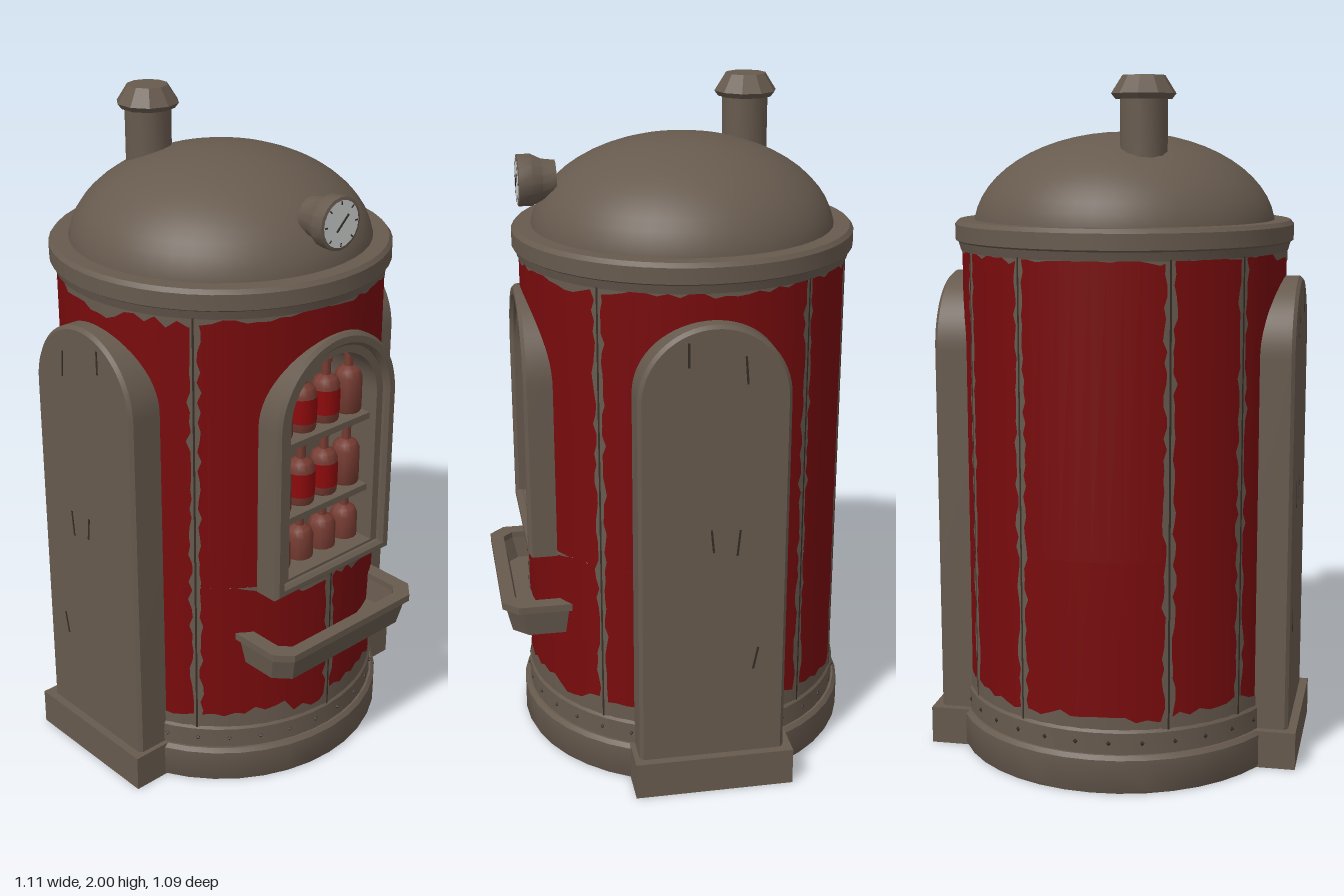
import * as THREE from 'three';
import { toCreasedNormals } from 'three/addons/utils/BufferGeometryUtils.js';
import { ParametricGeometry } from 'three/addons/geometries/ParametricGeometry.js';

const flat = (name, color, extra = {}) => new THREE.MeshStandardMaterial({ name, color, ...extra });
const hash = (n) => { const s = Math.sin(n * 127.1 + 11.7) * 43758.5453; return s - Math.floor(s); };
const CZ = -0.04;   // axis of the round body
const R = 0.48;     // body radius

export function createModel() {
  const brown = flat('weathered metal', 0x675a4e);
  const red = flat('red paint', 0x780b0d);
  const glass = flat('bottle glass', 0x733a30);
  const label = flat('bottle label', 0x8c0a0c);
  const white = flat('dial white', 0xcdd0d0);
  const dark = flat('dark grooves', 0x352d27);

  const model = new THREE.Group();
  const add = (name, geo, mat, x = 0, y = 0, z = 0, parent = model) => {
    const m = new THREE.Mesh(geo, mat);
    m.name = name;
    m.position.set(x, y, z);
    parent.add(m);
    return m;
  };
  const box = (w, h, d) => new THREE.BoxGeometry(w, h, d);
  const lathe = (pts, segs, crease = 0.5) =>
    toCreasedNormals(new THREE.LatheGeometry(pts.map((p) => new THREE.Vector2(...p)), segs), crease);
  const extrude = (shape, depth, bevel = 0) => toCreasedNormals(new THREE.ExtrudeGeometry(shape, {
    depth, curveSegments: 16, bevelEnabled: bevel > 0, bevelSize: bevel, bevelThickness: bevel,
    bevelOffset: -bevel, bevelSegments: 1,
  }), 0.5);
  // round-topped outline
  const arch = (hw, y0, top, Type = THREE.Shape) => {
    const s = new Type();
    s.moveTo(-hw, y0);
    s.lineTo(hw, y0);
    s.lineTo(hw, top - hw);
    s.absarc(0, top - hw, hw, 0, Math.PI, false);
    s.lineTo(-hw, y0);
    return s;
  };
  const archRing = (hw, y0, top, w, sill) => {
    const s = arch(hw, y0, top);
    s.holes.push(arch(hw - w, y0 + sill, top - w, THREE.Path));
    return s;
  };
  // surface wrapped on the body; at(u, v) gives [angle, height]
  const wrap = (r, slices, stacks, at) => new ParametricGeometry((u, v, t) => {
    const [a, y] = at(u, v);
    t.set(r * Math.sin(a), y, r * Math.cos(a));
  }, slices, stacks);

  // base: round foot, side blocks and riveted band
  add('foot', lathe([[0, 0], [0.5, 0], [0.505, 0.01], [0.505, 0.1], [0.495, 0.112], [0.45, 0.112]], 40), brown, 0, 0, CZ);
  add('baseBand', lathe([[0.488, 0.1], [0.488, 0.175], [0.478, 0.19], [0.46, 0.19]], 48), brown, 0, 0, CZ);
  const rivet = new THREE.OctahedronGeometry(0.008);
  for (let i = 0; i < 32; i++) {
    const a = (i + 0.5) / 32 * Math.PI * 2;
    add('rivet', rivet, dark, 0.487 * Math.sin(a), 0.145, CZ + 0.487 * Math.cos(a));
  }
  for (const s of [-1, 1]) {
    add('sideBlock', box(0.2, 0.112, 0.47), brown, s * 0.455, 0.056, -0.04);
    // arched side panel
    const panel = extrude(arch(0.215, 0.1, 1.43), 0.18, 0.01);
    panel.translate(0, 0, -0.09).rotateY(Math.PI / 2);
    add('sidePanel', panel, brown, s * 0.43, 0, -0.035);
    for (const [y, z, h, t] of [[0.8, -0.03, 0.07, 0.1], [0.79, -0.105, 0.08, -0.1], [1.35, 0.04, 0.07, 0],
      [1.3, -0.12, 0.08, 0.08], [0.42, -0.16, 0.07, -0.2]]) {
      add('scratch', box(0.003, h, 0.006), dark, s * 0.53, y, z).rotation.x = t;
    }
  }

  // red body with an arched opening at the front
  const gapX = 0.2, gapBase = 0.67, gapSpring = 1.175, top = 1.53;
  const gapA = Math.asin(gapX / R);
  add('lowerBody', new THREE.CylinderGeometry(R, R, gapBase - 0.15, 64, 1, true), red, 0, (gapBase + 0.15) / 2, CZ);
  add('upperBody', new THREE.CylinderGeometry(R, R, top - gapBase, 56, 1, true, gapA, Math.PI * 2 - 2 * gapA),
    red, 0, (top + gapBase) / 2, CZ);
  add('bodyOverWindow', wrap(R, 24, 1, (u, v) => {
    const a = (u * 2 - 1) * gapA;
    const x = R * Math.sin(a);
    const low = gapSpring + Math.sqrt(Math.max(0, gapX * gapX - x * x));
    return [a, low + (top - low) * v];
  }), red, 0, 0, CZ);

  // worn seams with a dark groove down the middle
  const seams = [[0, 0.18, 0.67]];
  for (const d of [51, 126, 154]) for (const s of [-1, 1]) seams.push([s * d * Math.PI / 180, 0.18, top]);
  seams.forEach(([angle, y0, y1], k) => {
    const n = Math.round((y1 - y0) / 0.03);
    add('wornSeam', wrap(R + 0.003, 1, n, (u, v) => {
      const i = Math.round(v * n);
      const half = 0.018 + 0.03 * hash(i + k * 97 + (u > 0.5 ? 500 : 0)) ** 2;
      return [angle + (u > 0.5 ? half : -half), y0 + (y1 - y0) * v];
    }), brown, 0, 0, CZ);
    add('seamGroove', wrap(R + 0.005, 1, 1, (u, v) => [angle + (u - 0.5) * 0.012, y0 + (y1 - y0) * v]), dark, 0, 0, CZ);
  });
  // worn paint along the top and bottom edges
  const ragged = (u, k) => {
    const i = Math.round(u * 96) % 96;
    return 0.6 * hash(Math.floor(i / 4) + k) + 0.4 * hash(i + k * 3);
  };
  add('wornBottom', wrap(R + 0.002, 96, 1, (u, v) =>
    [u * Math.PI * 2, 0.17 + v * (0.025 + 0.055 * ragged(u, 7))]), brown, 0, 0, CZ);
  add('wornTop', wrap(R + 0.002, 96, 1, (u, v) =>
    [u * Math.PI * 2, top - (1 - v) * (0.02 + 0.05 * ragged(u, 31) ** 2)]), brown, 0, 0, CZ);
  add('wornUnderWindow', wrap(R + 0.002, 24, 1, (u, v) =>
    [(u - 0.5) * 1.3, 0.67 - (1 - v) * (0.02 + 0.05 * ragged(u / 4, 53)) * Math.sin(Math.PI * u)]), brown, 0, 0, CZ);

  // roof: rim and dome
  add('roofRim', lathe([[0.46, 1.505], [0.485, 1.505], [0.492, 1.53], [0.5, 1.535], [0.5, 1.58], [0.49, 1.592],
    [0.43, 1.592]], 48), brown, 0, 0, CZ);
  const domePts = [];
  for (let i = 0; i <= 14; i++) {
    const a = i / 14 * Math.PI / 2;
    domePts.push([0.445 * Math.cos(a), 1.565 + 0.28 * Math.sin(a)]);
  }
  add('dome', lathe(domePts, 48, 1), brown, 0, 0, CZ);

  // chimney
  add('chimneyPipe', lathe([[0.068, 1.65], [0.068, 1.94]], 12, 0.8), brown, -0.095, 0, -0.245);
  add('chimneyCap', lathe([[0.06, 1.935], [0.08, 1.935], [0.092, 1.95], [0.06, 2], [0, 2]], 10, 0.3), brown, -0.095, 0, -0.245);

  // pressure gauge
  const gauge = new THREE.Group();
  gauge.name = 'gauge';
  gauge.position.set(0, 1.727, 0.35);
  model.add(gauge);
  add('gaugeCase', lathe([[0, -0.02], [0.055, -0.02], [0.06, 0.02], [0.075, 0.05], [0.075, 0.088], [0.066, 0.09],
    [0.064, 0.082], [0, 0.082]], 16), brown, 0, 0, 0, gauge).rotation.x = Math.PI / 2;
  add('dial', new THREE.CircleGeometry(0.066, 20), white, 0, 0, 0.0905, gauge);
  add('needle', box(0.005, 0.06, 0.003), dark, 0.004, 0.002, 0.092, gauge).rotation.z = -0.8;
  for (let i = 0; i < 8; i++) {
    const a = i * Math.PI / 4;
    add('dialTick', box(0.004, 0.01, 0.002), dark, 0.058 * Math.sin(a), 0.058 * Math.cos(a), 0.091, gauge).rotation.z = -a;
  }

  // window: outer frame, deep liner, back and shelves
  add('windowFrame', extrude(archRing(0.238, 0.652, 1.415, 0.04, 0.035), 0.09, 0.01), brown, 0, 0, 0.36);
  add('windowLiner', extrude(archRing(0.203, 0.67, 1.38, 0.03, 0.025), 0.2), brown, 0, 0, 0.24);
  add('windowBack', extrude(arch(0.2, 0.67, 1.378), 0.01), brown, 0, 0, 0.235);
  for (const y of [0.865, 1.1]) add('shelf', box(0.35, 0.02, 0.17), brown, 0, y, 0.33);

  // bottles in three rows
  const bottleGeo = lathe([[0, 0], [0.038, 0], [0.042, 0.008], [0.042, 0.11], [0.034, 0.13], [0.014, 0.142],
    [0.013, 0.18], [0.018, 0.182], [0.018, 0.194], [0, 0.194]], 14, 0.7);
  const labelGeo = new THREE.CylinderGeometry(0.0435, 0.0435, 0.075, 14, 1, true);
  [0.655, 0.875, 1.11].forEach((y, row) => {
    for (let i = 0; i < 4; i++) {
      const x = -0.141 + i * 0.094;
      add('bottle', bottleGeo, glass, x, y, 0.355);
      if (row > 0 && (i === 1 || i === 2)) add('bottleLabel', labelGeo, label, x, y + 0.065, 0.355);
    }
  });

  // tray: tapered walls, lip and floor
  const trayShape = (hw, front, hole) => {
    const pts = (w, f, b, c) => [[-w, -b], [-w, -(f - c)], [-w + c, -f], [w - c, -f], [w, -(f - c)], [w, -b]]
      .map((p) => new THREE.Vector2(...p));
    const s = new THREE.Shape(pts(hw, front, 0.31, 0.045));
    if (hole) s.holes.push(new THREE.Path(pts(0.245, 0.505, 0.33, 0.03)));
    return s;
  };
  const walls = new THREE.ExtrudeGeometry(trayShape(0.28, 0.535, true), { depth: 0.085, bevelEnabled: false });
  walls.rotateX(-Math.PI / 2);
  const p = walls.attributes.position;
  for (let i = 0; i < p.count; i++) {
    const k = 1 - p.getY(i) / 0.085;
    p.setX(i, p.getX(i) * (1 - 0.05 * k));
    if (p.getZ(i) > 0.4) p.setZ(i, p.getZ(i) - 0.02 * k);
  }
  walls.computeVertexNormals();
  add('trayWalls', walls, brown, 0, 0.412, 0);
  add('trayLip', extrude(trayShape(0.29, 0.545, true), 0.022).rotateX(-Math.PI / 2), brown, 0, 0.494, 0);
  add('trayFloor', extrude(trayShape(0.26, 0.51, false), 0.02).rotateX(-Math.PI / 2), brown, 0, 0.41, 0);

  return model;
}
